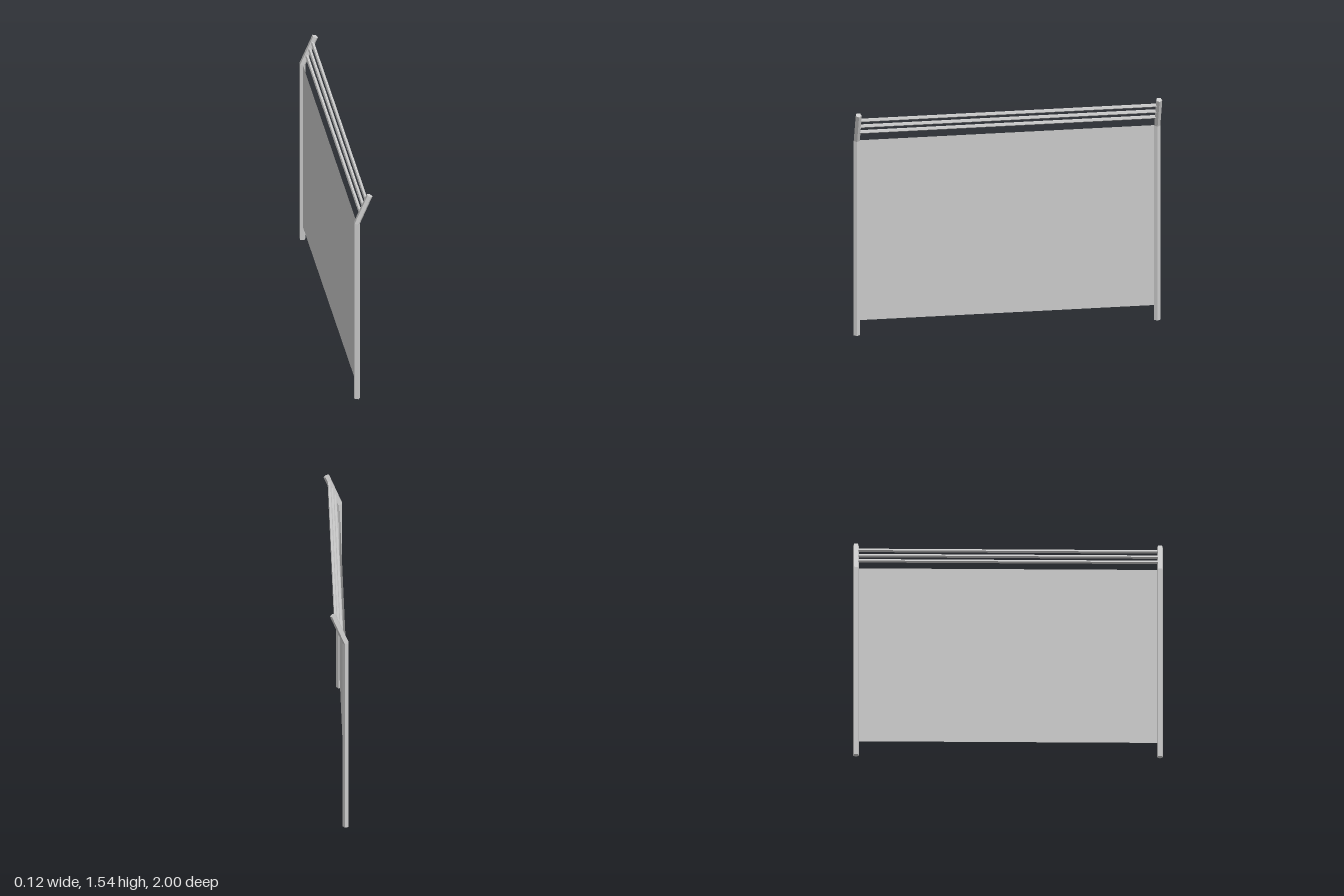
import * as THREE from 'three';

const SIDES = 5;
const POST_R = 0.021, POST_X = -0.043, POST_Z = 0.98;
const BEND_Y = 1.33, BEND = Math.PI / 8, ARM = 0.217;

const grey = new THREE.MeshStandardMaterial({ color: 0xcccccc, flatShading: true });
const sheet = new THREE.MeshStandardMaterial({ color: 0xcccccc, side: THREE.DoubleSide });

// Five-sided upright whose top leans towards +x, with a mitred bend
function postGeometry() {
  const geo = new THREE.CylinderGeometry(POST_R, POST_R, 2, SIDES, 2, false, Math.PI / 2);
  const p = geo.attributes.position;
  for (let i = 0; i < p.count; i++) {
    const x = p.getX(i), row = Math.round(p.getY(i));
    if (row < 0) p.setY(i, 0);
    else if (row === 0) p.setY(i, BEND_Y - x * Math.tan(BEND / 2));
    else {
      p.setX(i, x * Math.cos(BEND) + ARM * Math.sin(BEND));
      p.setY(i, BEND_Y - x * Math.sin(BEND) + ARM * Math.cos(BEND));
    }
  }
  geo.computeVertexNormals();
  return geo;
}

export function createModel() {
  const group = new THREE.Group();
  const add = (name, geo, mat, x, y, z) => {
    const mesh = new THREE.Mesh(geo, mat);
    mesh.name = name;
    mesh.position.set(x, y, z);
    group.add(mesh);
    return mesh;
  };

  // Posts at both ends
  const post = postGeometry();
  add('frontPost', post, grey, POST_X, 0, POST_Z);
  add('backPost', post, grey, POST_X, 0, -POST_Z);

  // Thin fence panel between the posts
  const panelBottom = 0.1;
  const panel = new THREE.PlaneGeometry(2 * POST_Z, BEND_Y - panelBottom);
  panel.rotateY(Math.PI / 2);
  add('panel', panel, sheet, POST_X, (BEND_Y + panelBottom) / 2, 0);

  // Three rails along the leaning arms
  const rail = new THREE.CylinderGeometry(0.012, 0.012, 2 * POST_Z, SIDES, 1, false, Math.PI / 2);
  rail.rotateX(Math.PI / 2);
  [1.396, 1.442, 1.488].forEach((y, i) => {
    const mesh = add(`rail${i + 1}`, rail, grey, POST_X + (y - BEND_Y) * Math.tan(BEND), y, 0);
    mesh.rotation.z = -BEND;
  });

  return group;
}
